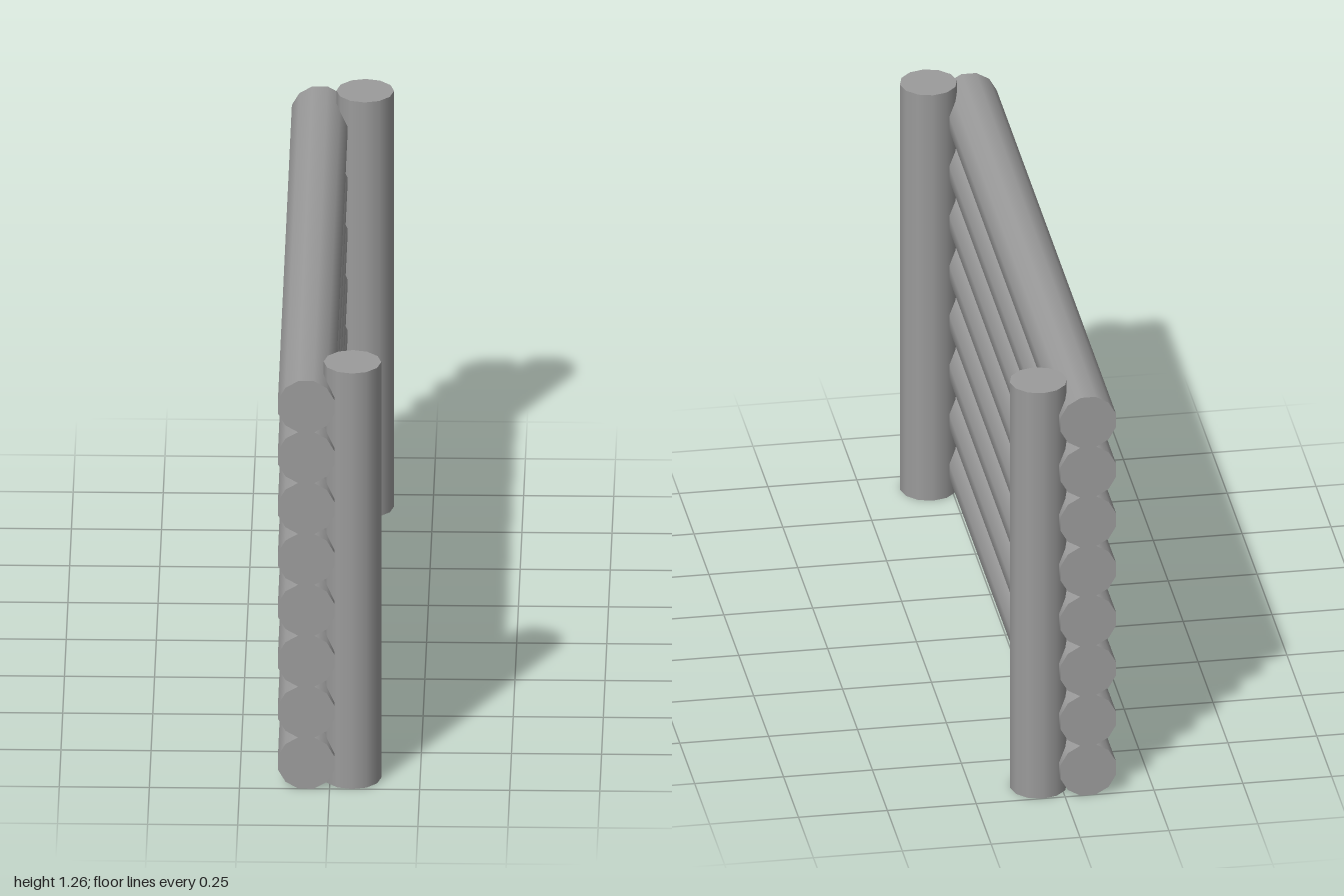
import * as THREE from 'three';

export function createModel() {
  const group = new THREE.Group();
  group.name = 'logFence';
  const material = new THREE.MeshStandardMaterial();
  material.color.set(0x9b9b9b);

  // Stacked horizontal logs, with a flat side facing up
  const logCount = 8, logRadius = 0.081, logHalf = 0.0782, pitch = 0.1547;
  const logGeometry = new THREE.CylinderGeometry(logRadius, logRadius, 2, 12);
  logGeometry.rotateY(Math.PI / 12).rotateX(Math.PI / 2);
  for (let i = 0; i < logCount; i++) {
    const log = new THREE.Mesh(logGeometry, material);
    log.name = `log${i + 1}`;
    log.position.set(-0.065, logHalf + i * pitch, 0);
    group.add(log);
  }

  // Upright posts at both ends, on the left side of the logs
  const postHeight = 1.263, postRadius = 0.08;
  const postGeometry = new THREE.CylinderGeometry(postRadius, postRadius, postHeight, 12);
  for (const side of [1, -1]) {
    const post = new THREE.Mesh(postGeometry, material);
    post.name = side > 0 ? 'frontPost' : 'backPost';
    post.position.set(0.062, postHeight / 2, side * 0.92);
    group.add(post);
  }
  return group;
}
